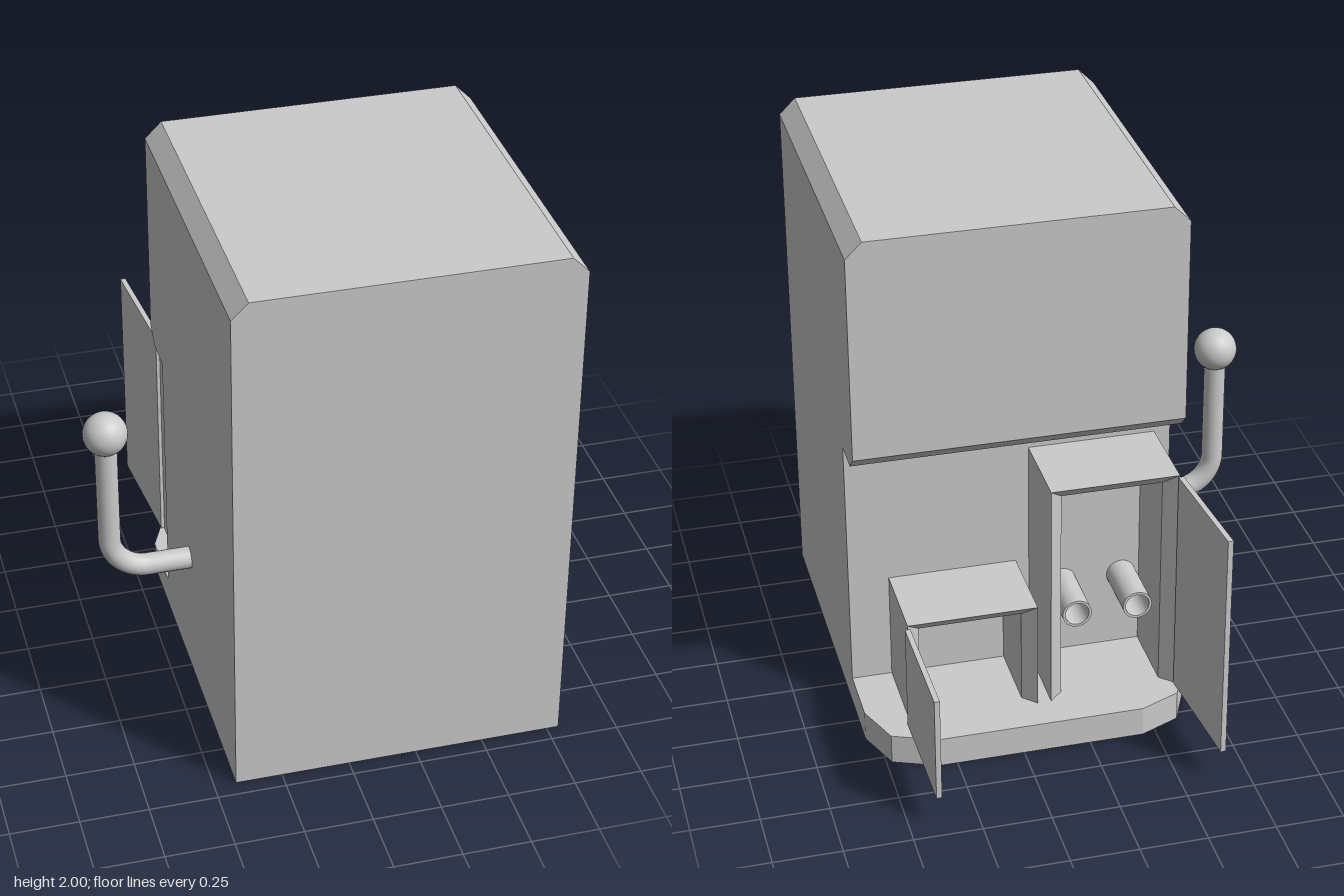
import * as THREE from 'three';

const mat = new THREE.MeshStandardMaterial({ color: 0xcccccc });
const thin = new THREE.MeshStandardMaterial({ color: 0xcccccc, side: THREE.DoubleSide });

const extrude = (pts, depth) => new THREE.ExtrudeGeometry(
  new THREE.Shape(pts.map(([a, b]) => new THREE.Vector2(a, b))), { depth, bevelEnabled: false });

// Prism helpers: profile in (x,y), (z,y) or (x,z), swept along the remaining axis
const alongZ = (pts, z0, z1) => extrude(pts, z1 - z0).translate(0, 0, z0);
const alongX = (pts, x0, x1) => extrude(pts, x1 - x0).rotateY(-Math.PI / 2).translate(x1, 0, 0);
const alongY = (pts, y0, y1) => extrude(pts.map(([x, z]) => [x, -z]), y1 - y0)
  .rotateX(-Math.PI / 2).translate(0, y0, 0);

const L = -0.42, R = 0.795, FRONT = 0.94, WALL = -0.14, FLOOR = 0.115;

export function createModel() {
  const model = new THREE.Group();
  const add = (name, geometry, parent = model, material = mat) => {
    const mesh = new THREE.Mesh(geometry, material);
    mesh.name = name;
    parent.add(mesh);
    return mesh;
  };

  // Upper cabinet with chamfered top edges
  add('upperCabinet', alongZ([[L, 1.16], [R, 1.16], [R, 1.94], [R - 0.06, 2], [L + 0.06, 2], [L, 1.94]],
    -0.33, FRONT));

  // Lower cabinet, recessed under a chamfered overhang
  add('lowerCabinet', alongX([[FRONT, 0], [FRONT, 1.16], [-0.33, 1.16], [-0.27, 1.105],
    [WALL, 1.105], [WALL, 0]], L, R));

  // Rounded ledge at the foot of the recess
  add('ledge', alongY([[L, WALL], [L, -0.38], [-0.35, -0.535], [-0.2, -0.6], [0.57, -0.6],
    [0.73, -0.535], [R, -0.37], [R, WALL]], 0, FLOOR));

  // Open compartments whose rims slope inwards
  const compartment = (name, x0, x1, top) => {
    const group = new THREE.Group();
    group.name = name;
    model.add(group);
    const t = 0.05, rim = -0.47;
    const side = (x, s) => [[x, WALL], [x, rim], [x + s * t, rim + t], [x + s * t, WALL]];
    add('sideWall', alongY(side(x0, 1), FLOOR, top), group);
    add('sideWall', alongY(side(x1, -1), FLOOR, top), group);
    add('roof', alongX([[WALL, top], [rim, top], [rim + t, top - t], [WALL, top - t]], x0, x1), group);
    return group;
  };
  const tall = compartment('tallCompartment', -0.36, 0.115, 1.01);
  compartment('shortCompartment', 0.165, 0.645, 0.535);

  // Doors standing open
  const door = (name, x, z, y0, y1, angle) => {
    const mesh = add(name, new THREE.BoxGeometry(0.02, y1 - y0, 0.46).translate(0, (y0 + y1) / 2, -0.23));
    mesh.position.set(x, 0, z);
    mesh.rotation.y = angle;
  };
  door('tallDoor', -0.363, -0.472, 0.118, 1.005, 0.085);
  door('shortDoor', 0.648, -0.484, 0.12, 0.53, 0.01);

  // Pair of open pipes inside the tall compartment
  for (const x of [-0.24, -0.01]) {
    const shape = new THREE.Shape().absarc(x, 0.415, 0.055, 0, Math.PI * 2);
    shape.holes.push(new THREE.Path().absarc(x, 0.415, 0.045, 0, Math.PI * 2));
    add('pipe', new THREE.ExtrudeGeometry(shape, { depth: 0.23, bevelEnabled: false, curveSegments: 20 })
      .translate(0, 0, -0.37), tall, thin);
  }

  // Bent lever with a ball knob on the right side
  const lever = new THREE.Group();
  lever.name = 'lever';
  model.add(lever);
  const v = (x, y) => new THREE.Vector3(x, y, 0.25);
  const k = 0.55 * 0.14;
  const path = new THREE.CurvePath();
  path.add(new THREE.LineCurve3(v(L + 0.02, 0.505), v(-0.575, 0.505)));
  path.add(new THREE.CubicBezierCurve3(v(-0.575, 0.505), v(-0.575 - k, 0.505), v(-0.715, 0.645 - k), v(-0.715, 0.645)));
  path.add(new THREE.LineCurve3(v(-0.715, 0.645), v(-0.715, 1.1)));
  add('leverRod', new THREE.TubeGeometry(path, 60, 0.041, 20), lever);
  add('leverKnob', new THREE.SphereGeometry(0.081, 32, 20).translate(-0.715, 1.103, 0.25), lever);

  return model;
}
